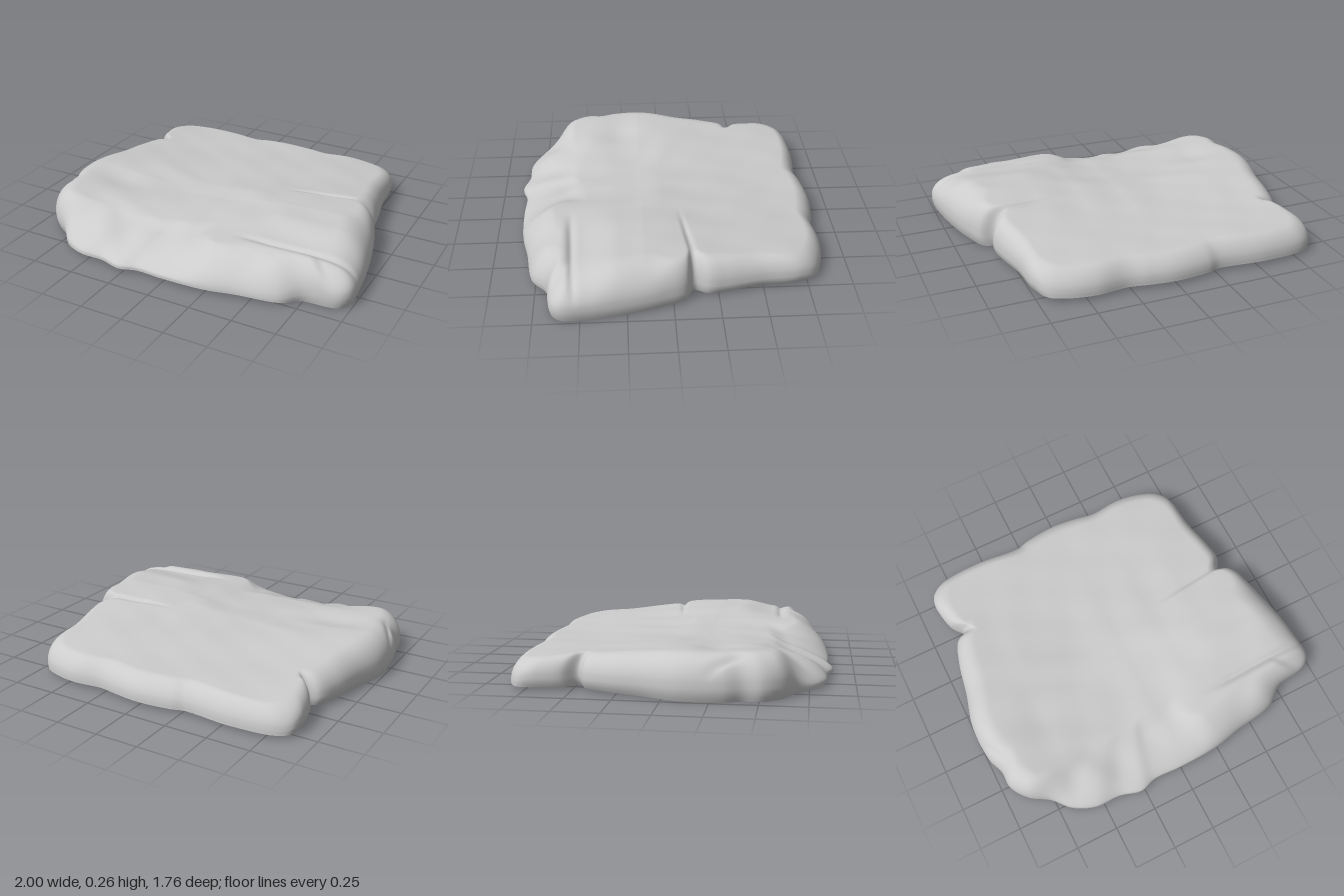
import * as THREE from 'three';

// Plan outline of the slab (x, z), walked once around from the back left corner
const OUTLINE = [
  [-0.89, -0.72], [-0.87, -0.79], [-0.8, -0.84], [-0.55, -0.865], [-0.27, -0.845], [-0.2, -0.865],
  [0, -0.885], [0.15, -0.87], [0.27, -0.85], [0.45, -0.865], [0.6, -0.84], [0.7, -0.79],
  [0.75, -0.7], [0.77, -0.5], [0.81, -0.3], [0.82, -0.2], [0.785, -0.115], [0.86, -0.07],
  [0.91, 0.06], [0.96, 0.26], [0.99, 0.45], [0.995, 0.6], [0.95, 0.655], [0.76, 0.69],
  [0.65, 0.77], [0.42, 0.81], [0.25, 0.845], [0, 0.855], [-0.17, 0.85], [-0.27, 0.878],
  [-0.4, 0.845], [-0.55, 0.84], [-0.68, 0.78], [-0.77, 0.69], [-0.88, 0.62], [-0.95, 0.52],
  [-0.955, 0.42], [-0.99, 0.32], [-0.998, 0.1], [-0.95, -0.1], [-0.91, -0.3], [-0.86, -0.43],
  [-0.8, -0.465], [-0.86, -0.55], [-0.885, -0.65],
];
// Crest height across the width (x, y)
const CREST = [[-1, 0.245], [-0.85, 0.25], [-0.6, 0.235], [-0.2, 0.215], [0, 0.224], [0.25, 0.242], [0.5, 0.26], [0.75, 0.263], [1, 0.25]];

// Smooth step from 0 at a to 1 at b, in either direction
function smooth(a, b, v) {
  const t = THREE.MathUtils.clamp((v - a) / (b - a), 0, 1);
  return t * t * (3 - 2 * t);
}
const bump = (v, c, w) => Math.exp(-(((v - c) / w) ** 2));

// Smooth curve through a small table
function lookup(table, v) {
  let i = 1;
  while (i < table.length - 1 && v > table[i][0]) i++;
  const [x0, y0] = table[i - 1], [x1, y1] = table[i];
  return y0 + (y1 - y0) * smooth(x0, x1, v);
}

// Height of the worn upper face
function topHeight(x, z) {
  const rise = THREE.MathUtils.clamp((z + 0.85) / 1.0, 0, 1);
  let y = THREE.MathUtils.lerp(0.163, lookup(CREST, x), rise);
  // shallow step across the middle, and a hollow behind the front left lobe
  y -= 0.015 * smooth(0.03, 0.2, z - 0.1 * x + 0.02 * Math.sin(x * 9)) * smooth(0.45, 0.1, x) * smooth(-0.75, -0.35, x);
  y -= 0.02 * bump(x, -0.62, 0.24) * bump(z, 0.27, 0.12);
  y -= 0.015 * smooth(0.3, 0.65, z);
  // slope, crack and ridge on the front right block
  const block = smooth(0.25, 0.5, x), crack = 0.57 - 0.04 * x;
  y -= 0.03 * block * smooth(0.28, 0.5, z);
  y -= 0.014 * block * bump(z, crack, 0.02);
  y += 0.01 * block * bump(z, crack + 0.05, 0.035);
  // step where the right block meets the lower front ledge
  y -= 0.016 * smooth(0.2, 0.09, x + 0.03 * Math.sin(z * 14)) * smooth(0.48, 0.6, z + 0.03 * Math.sin(x * 8)) * smooth(-0.75, -0.4, x);
  // cracks running in from the side notches
  y -= 0.014 * smooth(0.25, 0.6, x) * bump(z, -0.03 - 0.11 * x, 0.016);
  y += 0.006 * smooth(0.2, 0.7, x) * smooth(-0.11, -0.05, z + 0.03 * x) * smooth(0.3, 0, z);
  y -= 0.015 * smooth(-0.72, -0.8, x) * bump(z, -0.46, 0.02);
  // crease low on the left side
  y -= 0.025 * smooth(-0.86, -0.96, x) * bump(z, 0.38 + 1.5 * (x + 0.9), 0.03);
  // weathering
  y += 0.003 * Math.sin(7 * x + 3 * z) * Math.sin(9 * z - 2 * x + 1) + 0.0015 * Math.sin(19 * x - 8 * z) * Math.sin(17 * z + 5 * x);
  return y;
}

// Hollow stone shell: rings run from the centre out to the rim, then down the wall
function slabGeometry() {
  const SEGS = 420, RINGS = 72;
  const curve = new THREE.CatmullRomCurve3(OUTLINE.map(([x, z]) => new THREE.Vector3(x, 0, z)), true, 'centripetal');
  const rim = curve.getSpacedPoints(SEGS).slice(0, SEGS);
  const positions = [], index = [];

  const edges = rim.map((p) => {
    const front = smooth(0.6, 0.8, p.z), back = smooth(-0.7, -0.82, p.z);
    const ledge = front * smooth(0.3, 0.05, p.x); // long gentle slope on the front left
    const rightSide = smooth(0.84, 0.93, p.x) * smooth(-0.05, 0.2, p.z);
    const leftSide = smooth(-0.8, -0.95, p.x);
    return {
      r: Math.hypot(p.x, p.z),
      width: 0.1 + 0.09 * front + 0.15 * ledge + 0.11 * rightSide + 0.04 * leftSide,
      wall: 0.075 - 0.035 * front - 0.025 * back,
      base: 0.024 - 0.021 * smooth(0.55, 0.9, Math.abs(p.x)) * smooth(-0.6, 0.2, p.z),
      power: 2.1 - 0.5 * front - 0.2 * ledge - 0.3 * back,
      front,
      tuck: 0.018 * (1 - front) * (1 - back),
    };
  });

  for (let k = 0; k <= RINGS; k++) {
    const t = 1 - (1 - k / RINGS) ** 1.4;
    rim.forEach((p, j) => {
      const e = edges[j], x = p.x * t, z = p.z * t;
      const q = Math.min(1, (e.r * (1 - t)) / e.width);
      const round = (1 - (1 - q) ** e.power) ** (1 / e.power);
      // facets chipped along the sloping front
      const chip = 0.007 * e.front * Math.sin(Math.PI * q) * (Math.sin(x * 11 + 1) + 0.6 * Math.sin(x * 23 - z * 9));
      positions.push(x, e.wall + (topHeight(x, z) - e.wall) * round + chip, z);
    });
  }
  // lower wall, tucked slightly under
  for (const s of [0.35, 0.7, 1]) {
    rim.forEach((p, j) => {
      const e = edges[j], k = 1 - (e.tuck * s * s) / e.r;
      positions.push(p.x * k, THREE.MathUtils.lerp(e.wall, e.base, s), p.z * k);
    });
  }

  for (let k = 0; k < RINGS + 3; k++) {
    for (let j = 0; j < SEGS; j++) {
      const n = (j + 1) % SEGS;
      const a = k * SEGS + j, b = k * SEGS + n, c = a + SEGS, d = b + SEGS;
      if (k > 0) index.push(a, b, c);
      index.push(b, d, c);
    }
  }
  const geometry = new THREE.BufferGeometry();
  geometry.setAttribute('position', new THREE.Float32BufferAttribute(positions, 3));
  geometry.setIndex(index);
  geometry.computeVertexNormals();
  return geometry;
}

export function createModel() {
  const group = new THREE.Group();
  group.name = 'flatRock';
  const stone = new THREE.MeshStandardMaterial({ color: 0xcccccc, side: THREE.DoubleSide });
  const slab = new THREE.Mesh(slabGeometry(), stone);
  slab.name = 'stoneSlab';
  group.add(slab);
  return group;
}
